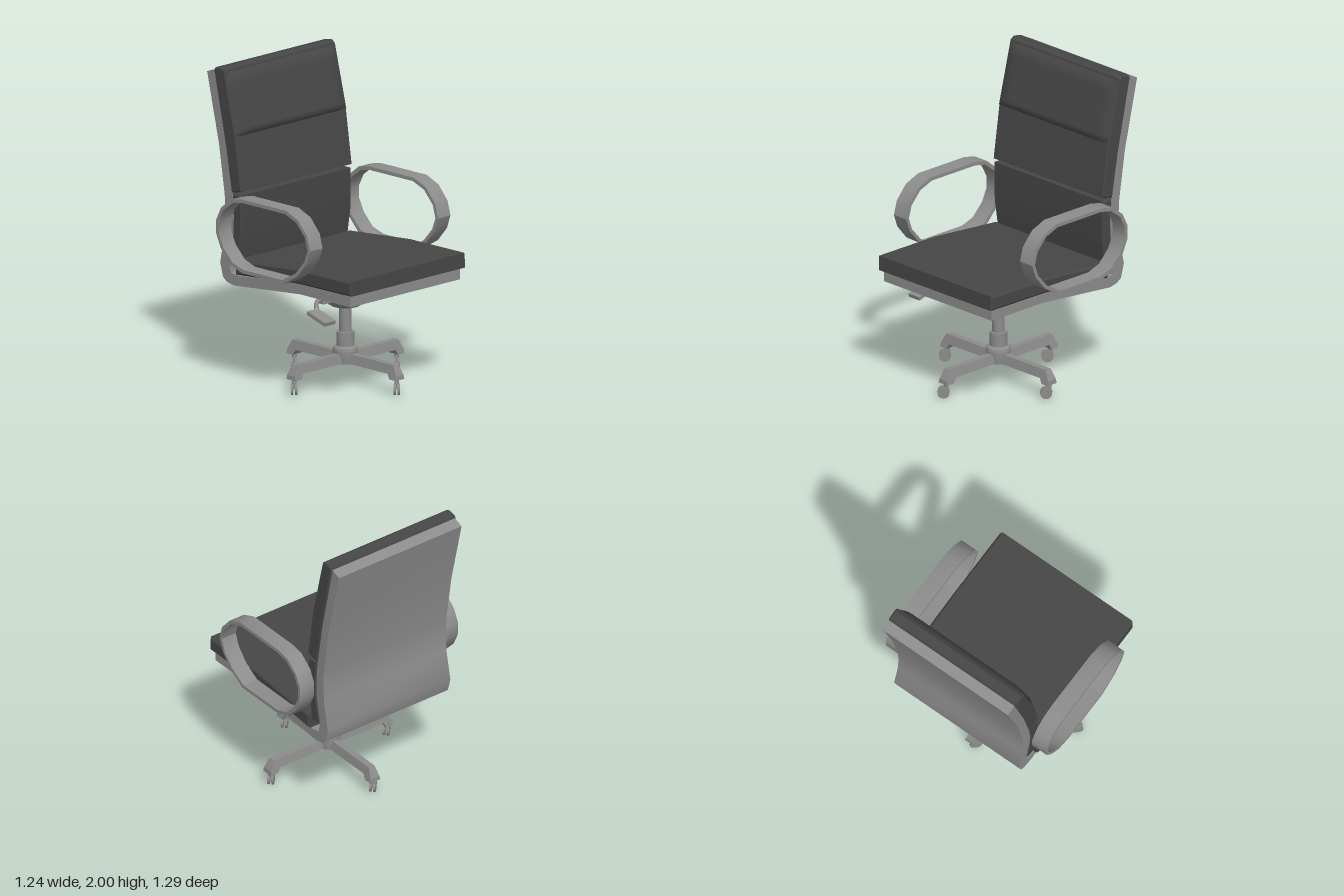
import * as THREE from 'three';
import { toCreasedNormals } from 'three/addons/utils/BufferGeometryUtils.js';

const leather = new THREE.MeshStandardMaterial({ color: 0x464646 });
leather.name = 'dark leather';
const metal = new THREE.MeshStandardMaterial({ color: 0x8c8c8c });
metal.name = 'grey metal';

const BASE_Z = 0.093;

function part(name, geometry, material, parent) {
  const mesh = new THREE.Mesh(geometry, material);
  mesh.name = name;
  parent.add(mesh);
  return mesh;
}

const toShape = (pts) => new THREE.Shape(pts.map(([a, b]) => new THREE.Vector2(a, b)));

// Side profile of [z, y] points, extruded across x and centred on x = 0
function sideExtrude(profile, width, bevel = 0, hole = null) {
  const shape = Array.isArray(profile) ? toShape(profile) : profile;
  if (hole) shape.holes.push(toShape(hole));
  const depth = width - 2 * bevel;
  const g = new THREE.ExtrudeGeometry(shape, {
    depth, bevelEnabled: bevel > 0, bevelThickness: bevel, bevelSize: bevel,
    bevelOffset: -bevel, bevelSegments: 1,
  });
  g.translate(0, 0, -depth / 2);
  g.rotateY(-Math.PI / 2);
  return toCreasedNormals(g, 0.5);
}

function lathe(points, segments) {
  const g = new THREE.LatheGeometry(points.map(([r, y]) => new THREE.Vector2(r, y)), segments);
  return toCreasedNormals(g, 0.6);
}

// Rod between two points
function rod(name, a, b, radius, parent) {
  const from = new THREE.Vector3(...a), to = new THREE.Vector3(...b);
  const dir = to.clone().sub(from);
  const mesh = part(name, new THREE.CylinderGeometry(radius, radius, dir.length(), 8), metal, parent);
  mesh.position.copy(from).add(to).multiplyScalar(0.5);
  mesh.quaternion.setFromUnitVectors(new THREE.Vector3(0, 1, 0), dir.normalize());
}

// Front face of the upper back cushion at height y
const cushionFront = (y) => y < 1.57
  ? -0.34 - (y - 1.235) * 0.134
  : -0.385 - (y - 1.57) * 0.25;

function headrestGeometry() {
  const w = 0.97, y0 = 1.575, y1 = 1.975;
  const g = new THREE.PlaneGeometry(w, y1 - y0, 24, 16);
  g.translate(0, (y0 + y1) / 2, 0);
  const p = g.attributes.position;
  for (let i = 0; i < p.count; i++) {
    const x = p.getX(i), y = p.getY(i);
    const side = Math.min(1, (w / 2 - Math.abs(x)) / 0.05);
    const end = Math.min(1, (y - y0) / 0.025, (y1 - y) / 0.04);
    p.setZ(i, cushionFront(y) + 0.002 + 0.027 * side * end);
  }
  g.computeVertexNormals();
  return g;
}

function addSeat(chair) {
  // One bent shell runs under the seat and up the back
  part('shell', sideExtrude([
    [0.62, 0.665], [0.17, 0.665], [-0.41, 0.612], [-0.47, 0.625], [-0.505, 0.65], [-0.53, 0.74],
    [-0.49, 0.94], [-0.483, 1.06], [-0.49, 1.18], [-0.54, 1.5], [-0.645, 1.95],
    [-0.578, 1.975], [-0.475, 1.5], [-0.422, 1.18], [-0.412, 1.06], [-0.416, 0.94],
    [-0.45, 0.76], [-0.435, 0.69], [-0.375, 0.68], [0.17, 0.74], [0.62, 0.74],
  ], 0.96), metal, chair);

  part('seatCushion', sideExtrude([
    [0.645, 0.837], [0.647, 0.742], [0.17, 0.738], [-0.372, 0.693], [-0.37, 0.79], [0.16, 0.835],
  ], 1.02, 0.012), leather, chair);

  part('lowerBackCushion', sideExtrude([
    [-0.338, 1.205], [-0.34, 0.95], [-0.372, 0.747], [-0.45, 0.755],
    [-0.416, 0.94], [-0.412, 1.06], [-0.422, 1.205],
  ], 0.975, 0.01), leather, chair);

  part('upperBackCushion', sideExtrude([
    [-0.335, 1.228], [-0.385, 1.57], [-0.475, 1.95], [-0.485, 1.985], [-0.51, 2.0],
    [-0.568, 1.99], [-0.578, 1.97], [-0.475, 1.5], [-0.424, 1.21],
  ], 0.98, 0.008), leather, chair);

  part('headrestPad', headrestGeometry(), leather, chair);
}

function addArmrests(chair) {
  const outer = [
    [0.19, 1.232], [-0.21, 1.232], [-0.30, 1.213], [-0.385, 1.145], [-0.427, 1.06],
    [-0.427, 0.97], [-0.385, 0.88], [-0.30, 0.79], [-0.20, 0.757], [0.165, 0.757],
    [0.29, 0.83], [0.37, 0.925], [0.40, 1.01], [0.375, 1.10], [0.295, 1.19],
  ];
  // Inner outline is the outer one shrunk evenly towards the middle
  const inner = outer.map(([z, y]) => [
    -0.0135 + (z + 0.0135) * 0.945, 0.9945 + (y - 0.9945) * 0.905,
  ]);
  const g = sideExtrude(outer, 0.11, 0, inner);
  for (const s of [1, -1]) {
    part(s > 0 ? 'leftArmrest' : 'rightArmrest', g, metal, chair).position.x = s * 0.563;
  }
}

function addCaster(parent, index) {
  const caster = new THREE.Group();
  caster.name = 'caster';
  rod('casterStem', [0, 0.11, 0], [0, 0.07, 0], 0.014, caster);
  const fork = part('casterFork', new THREE.BoxGeometry(0.016, 0.045, 0.034), metal, caster);
  fork.position.set(0, 0.06, 0.012);
  for (const s of [1, -1]) {
    const wheel = part('casterWheel', new THREE.CylinderGeometry(0.038, 0.038, 0.014, 12), metal, caster);
    wheel.rotation.z = Math.PI / 2;
    wheel.position.set(s * 0.013, 0.038, 0.018);
  }
  caster.position.z = 0.452;
  // All casters swivel to the same heading
  caster.rotation.y = -Math.PI / 4 - index * Math.PI / 2;
  parent.add(caster);
}

function addBase(chair) {
  const base = new THREE.Group();
  base.name = 'base';
  base.position.z = BASE_Z;
  chair.add(base);

  part('tiltHousing', lathe([
    [0, 0.49], [0.09, 0.492], [0.165, 0.54], [0.222, 0.59], [0.23, 0.62], [0.23, 0.668], [0, 0.668],
  ], 14), metal, base);
  part('gasColumn', lathe([[0.04, 0.3], [0.04, 0.5]], 12), metal, base);
  part('hub', lathe([
    [0, 0.125], [0.07, 0.125], [0.082, 0.205], [0.076, 0.225], [0.058, 0.235],
    [0.058, 0.325], [0, 0.325],
  ], 12), metal, base);

  // Leg narrows towards its top edge
  const legGeometry = sideExtrude([
    [0.04, 0.13], [0.405, 0.13], [0.425, 0.098], [0.48, 0.098], [0.478, 0.125], [0.445, 0.19], [0.04, 0.19],
  ], 2);
  const p = legGeometry.attributes.position;
  for (let i = 0; i < p.count; i++) {
    p.setX(i, p.getX(i) * (0.04 - (p.getY(i) - 0.098) * 0.2));
  }
  legGeometry.computeVertexNormals();
  for (let i = 0; i < 4; i++) {
    const leg = new THREE.Group();
    leg.name = 'leg';
    part('legBeam', legGeometry, metal, leg);
    addCaster(leg, i);
    leg.rotation.y = i * Math.PI / 2;
    base.add(leg);
  }
}

function addLever(chair) {
  const lever = new THREE.Group();
  lever.name = 'heightLever';
  const socket = part('leverSocket', new THREE.BoxGeometry(0.1, 0.058, 0.06), metal, lever);
  socket.position.set(-0.24, 0.595, 0.16);
  const path = new THREE.CatmullRomCurve3([
    new THREE.Vector3(-0.27, 0.598, 0.16), new THREE.Vector3(-0.35, 0.59, 0.19),
    new THREE.Vector3(-0.42, 0.568, 0.26),
  ]);
  part('leverRod', new THREE.TubeGeometry(path, 8, 0.015, 8), metal, lever);
  const paddle = part('leverPaddle', new THREE.BoxGeometry(0.095, 0.024, 0.165), metal, lever);
  paddle.position.set(-0.44, 0.535, 0.32);
  paddle.rotation.x = 0.3;
  chair.add(lever);
}

export function createModel() {
  const chair = new THREE.Group();
  chair.name = 'officeChair';
  addSeat(chair);
  addArmrests(chair);
  addBase(chair);
  addLever(chair);
  return chair;
}
